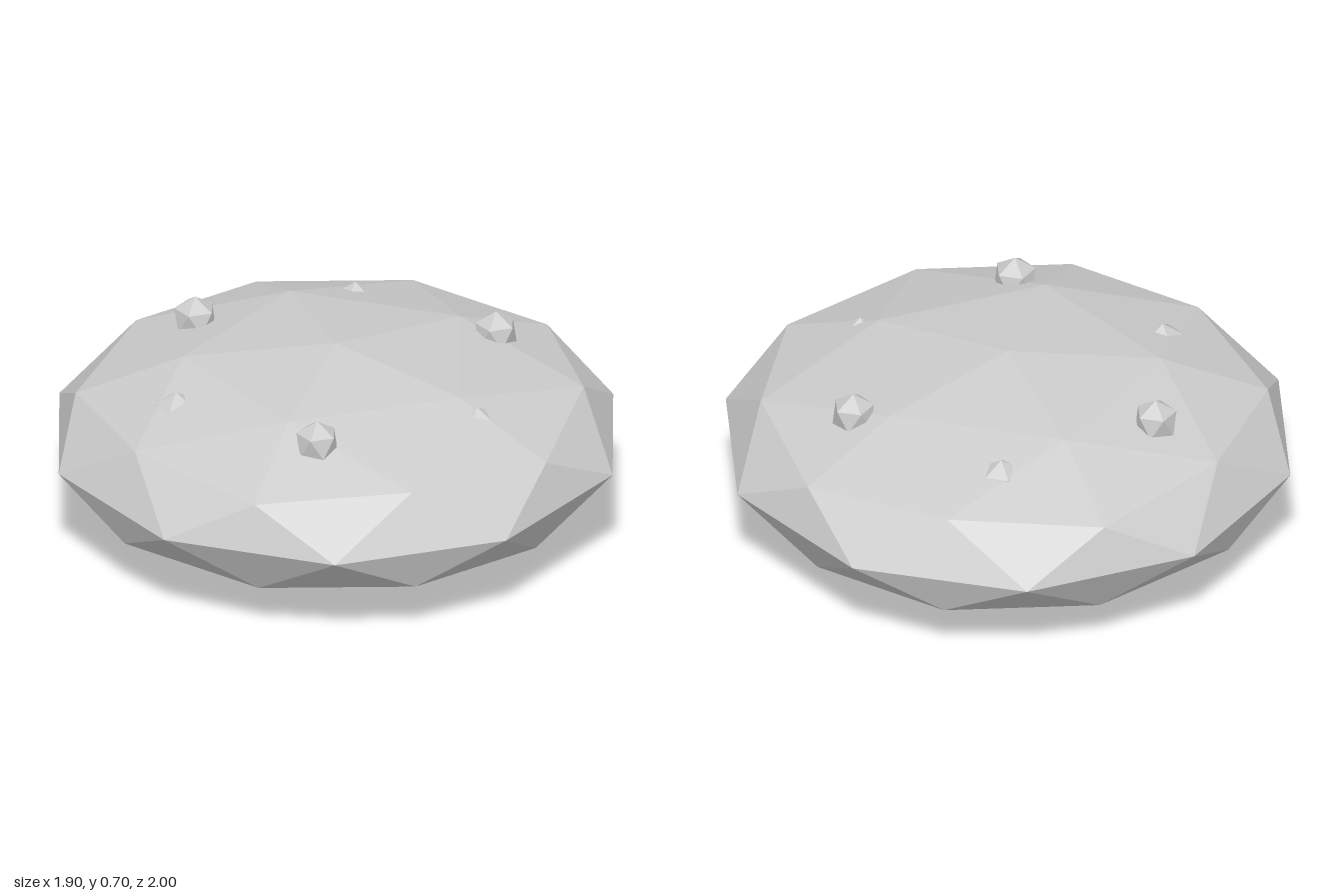
import * as THREE from 'three';

// Icosphere standing on a vertex, with one upper-ring vertex facing +x
function icoOnPole(radius, detail, yScale = 1) {
  const geo = new THREE.IcosahedronGeometry(radius, detail);
  geo.rotateZ(-Math.atan(2 / (1 + Math.sqrt(5))));
  geo.scale(1, yScale, 1);
  geo.computeVertexNormals();
  return geo;
}

export function createModel() {
  const group = new THREE.Group();
  group.name = 'saucer';

  const grey = new THREE.MeshStandardMaterial({ color: 0xcccccc, flatShading: true });
  grey.name = 'plain grey';

  // Flattened faceted hull
  const hull = new THREE.Mesh(icoOnPole(1, 1, 0.35), grey);
  hull.name = 'hull';
  hull.position.y = 0.35;
  group.add(hull);

  // Ring of six lamps, alternately sunken and raised
  const lampGeo = icoOnPole(0.08, 0);
  for (let i = 0; i < 6; i++) {
    const a = (i * Math.PI) / 3;
    const raised = i % 2 === 1;
    const lamp = new THREE.Mesh(lampGeo, grey);
    lamp.name = raised ? 'raisedLamp' : 'sunkenLamp';
    lamp.position.set(0.6 * Math.cos(a), raised ? 0.62 : 0.554, 0.6 * Math.sin(a));
    group.add(lamp);
  }
  return group;
}
